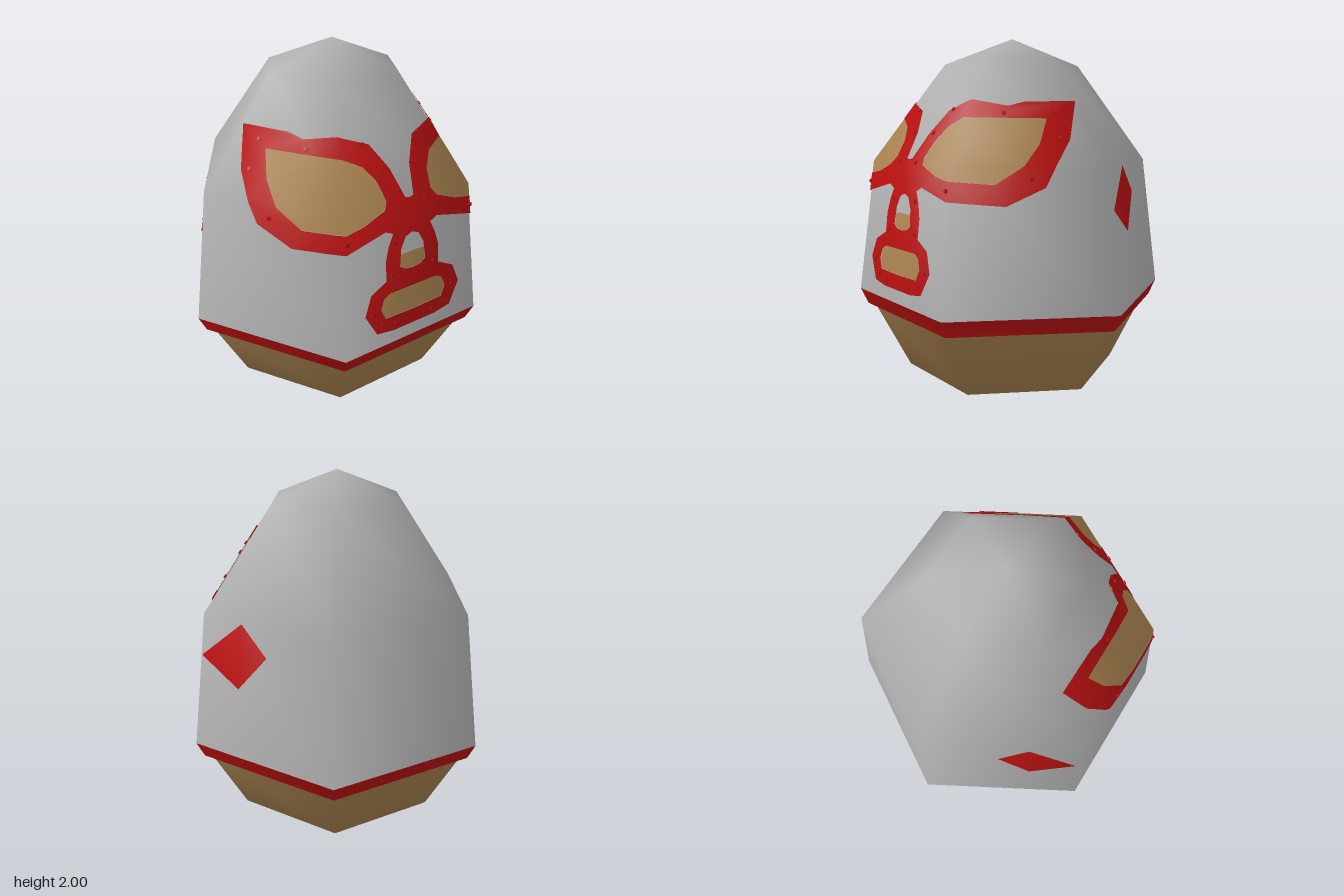
import * as THREE from 'three';
import { mergeGeometries, mergeVertices } from 'three/addons/utils/BufferGeometryUtils.js';

const mat = (name, color) => Object.assign(new THREE.MeshStandardMaterial({ color }), { name });
const S3 = Math.sqrt(3);

// Mask profile: radius to the corner of the hexagon, height
const PROFILE = [[0.845, 0.645], [0.75, 1.35], [0.365, 1.86], [0, 2]];

function radiusAt(y) {
  const i = y < 1.35 ? 0 : y < 1.86 ? 1 : 2;
  const [r0, y0] = PROFILE[i], [r1, y1] = PROFILE[i + 1];
  return r0 + (r1 - r0) * (y - y0) / (y1 - y0);
}

// Front depth of the six-sided head at a point, lifted outward
function depthAt(x, y, lift) {
  const r = radiusAt(y) + lift;
  return Math.max(0, Math.min(r * S3 / 2, S3 * (r - Math.abs(x))));
}

// Six-sided smooth shell with corners on the x axis
function hexShell(profile) {
  const g = new THREE.LatheGeometry(profile.map(p => new THREE.Vector2(...p)), 6, Math.PI / 2);
  g.deleteAttribute('uv');
  g.deleteAttribute('normal');
  const merged = mergeVertices(g, 1e-4);
  merged.computeVertexNormals();
  return merged;
}

// Fold lines of the head, in the front plane: f(x, y) = 0
const FOLDS = [(x, y) => y - 1.35];
for (const s of [1, -1]) {
  for (const i of [0, 1]) {
    const [r0, y0] = PROFILE[i], [r1, y1] = PROFILE[i + 1];
    FOLDS.push((x, y) => s * x - (r0 + (r1 - r0) * (y - y0) / (y1 - y0)) / 2);
  }
}

// Cut a triangle along a fold line, keeping the winding
function cut(tri, f) {
  const out = [];
  for (const sign of [1, -1]) {
    const poly = [];
    tri.forEach((a, i) => {
      const b = tri[(i + 1) % 3];
      const da = sign * f(...a), db = sign * f(...b);
      if (da >= 0) poly.push(a);
      if (da * db < 0) {
        const t = da / (da - db);
        poly.push([a[0] + (b[0] - a[0]) * t, a[1] + (b[1] - a[1]) * t]);
      }
    });
    for (let i = 2; i < poly.length; i++) out.push([poly[0], poly[i - 1], poly[i]]);
  }
  return out;
}

// Thin painted plate laid over the folds of the head
function plate(outline, holes, lift) {
  const vec = pts => pts.map(p => new THREE.Vector2(...p));
  const shape = new THREE.Shape(vec(outline));
  holes.forEach(h => shape.holes.push(new THREE.Path(vec(h))));
  const flat = new THREE.ShapeGeometry(shape).toNonIndexed().attributes.position;
  let tris = [];
  for (let i = 0; i < flat.count; i += 3) {
    tris.push([0, 1, 2].map(k => [flat.getX(i + k), flat.getY(i + k)]));
  }
  for (const f of FOLDS) tris = tris.flatMap(t => cut(t, f));
  const pos = [], nor = [];
  for (const [x, y] of tris.flat()) {
    const z = depthAt(x, y, lift), r = radiusAt(y);
    pos.push(x, y, z);
    nor.push(...new THREE.Vector3(x / r, (y - 0.6) * 0.55, z / r).normalize().toArray());
  }
  const g = new THREE.BufferGeometry();
  g.setAttribute('position', new THREE.Float32BufferAttribute(pos, 3));
  g.setAttribute('normal', new THREE.Float32BufferAttribute(nor, 3));
  return g;
}

const mirror = pts => pts.map(([x, y]) => [-x, y]).reverse();
// Close a half outline that starts and ends on x = 0
const whole = half => [...half, ...mirror(half).slice(1, -1)];

// Small stud standing on the head surface
function stud(x, y) {
  const e = 0.001, ax = Math.abs(x);
  const n = new THREE.Vector3(
    (depthAt(ax - e, y, 0) - depthAt(ax + e, y, 0)) / (2 * e) * Math.sign(x),
    (depthAt(ax, y - e, 0) - depthAt(ax, y + e, 0)) / (2 * e), 1).normalize();
  const g = new THREE.CylinderGeometry(0.011, 0.011, 0.008, 6);
  g.applyQuaternion(new THREE.Quaternion().setFromUnitVectors(new THREE.Vector3(0, 1, 0), n));
  return g.translate(x, y, depthAt(x, y, 0.011));
}

export function createModel() {
  const model = new THREE.Group();
  model.name = 'maskedHead';
  const grey = mat('maskGrey', 0xb0b0b0);
  const red = mat('trimRed', 0xb81010);
  const skin = mat('skinTan', 0xab8450);
  red.side = skin.side = THREE.DoubleSide;
  const add = (name, geometry, material) => {
    const mesh = new THREE.Mesh(geometry, material);
    mesh.name = name;
    model.add(mesh);
    return mesh;
  };

  // Head shells
  add('mask', hexShell(PROFILE), grey);
  add('chin', hexShell([[0, 0], [0.58, 0.2], [0.77, 0.56]]), skin);
  add('neckBand', hexShell([[0.805, 0.56], [0.845, 0.645]]), red);
  add('neckBandLedge', hexShell([[0.765, 0.56], [0.805, 0.56]]), red);

  // Openings in the face trim
  const eye = [[0.495, 1.57], [0.29, 1.575], [0.2, 1.53], [0.15, 1.46], [0.135, 1.38],
    [0.16, 1.345], [0.28, 1.3], [0.495, 1.265], [0.555, 1.35], [0.54, 1.45]];
  const nose = whole([[0, 1.2], [0.04, 1.185], [0.07, 1.13], [0.08, 1.04], [0.045, 1.02], [0, 1.015]]);
  const mouth = whole([[0, 0.92], [0.15, 0.92], [0.185, 0.9], [0.205, 0.85], [0.18, 0.795], [0, 0.79]]);

  // Trim around eyes, nose and mouth
  const trim = whole([[0, 1.37], [0.025, 1.375], [0.06, 1.5], [0.13, 1.61], [0.27, 1.66],
    [0.37, 1.63], [0.4, 1.65], [0.522, 1.655], [0.602, 1.47], [0.63, 1.35], [0.615, 1.25],
    [0.53, 1.165], [0.385, 1.19], [0.16, 1.24], [0.115, 1.22], [0.145, 1.16], [0.165, 1.09],
    [0.165, 0.99], [0.26, 0.945], [0.3, 0.845], [0.235, 0.73], [0.13, 0.715], [0, 0.715]]);
  add('faceTrim', plate(trim, [eye, mirror(eye), nose, mouth], 0.009), red);

  // Skin showing through the openings
  add('leftEyeSkin', plate(eye, [], 0.005), skin);
  add('rightEyeSkin', plate(mirror(eye), [], 0.005), skin);
  add('mouthSkin', plate(mouth, [], 0.005), skin);
  add('noseSkin', plate(whole([[0, 1.1], [0.075, 1.1], [0.08, 1.04], [0.045, 1.02], [0, 1.015]]), [], 0.005), skin);

  // Studs along the trim
  const studs = [[0.165, 1.615], [0.38, 1.595], [0.5, 1.605], [0.1, 1.5], [0.08, 1.357], [0.38, 1.24],
    [0.575, 1.48], [0.58, 1.29], [0.11, 1.17], [0.13, 1.01], [0.25, 0.84], [0.2, 0.765], [0.116, 0.75]];
  add('trimStuds', mergeGeometries(studs.flatMap(([x, y]) => [stud(x, y), stud(-x, y)])), red);

  // Diamond patches on the rear side faces
  const diamond = [[0.778, 1.14], [0.636, 1.34], [0.574, 1.2], [0.675, 1.01]];
  add('rightDiamond', plate(diamond, [], 0.005), red).rotation.y = Math.PI;
  add('leftDiamond', plate(mirror(diamond), [], 0.005), red).rotation.y = Math.PI;

  return model;
}
